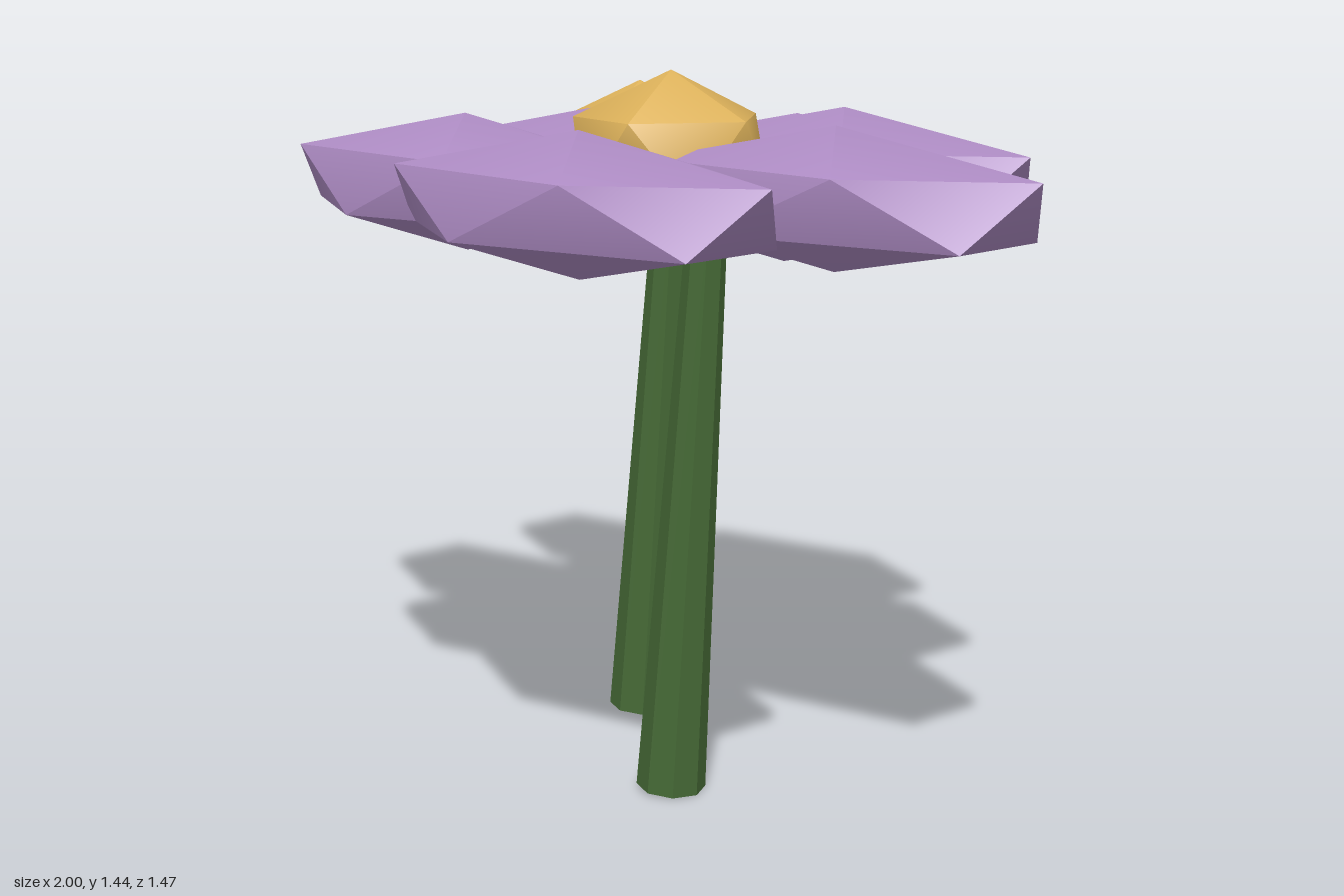
import * as THREE from 'three';
import { toCreasedNormals } from 'three/addons/utils/BufferGeometryUtils.js';

const material = (name, color, flatShading = false) => {
  const m = new THREE.MeshStandardMaterial({ color, flatShading });
  m.name = name;
  return m;
};

// Twelve-cornered ball standing on one point: two twisted rings of five and two poles
function ball(sx, sy, sz) {
  const ringY = 1 / Math.sqrt(5), ringR = 2 / Math.sqrt(5);
  const points = [0, sy, 0, 0, -sy, 0];
  const index = [];
  for (let i = 0; i < 10; i++) {
    const a = i * Math.PI / 5;
    points.push(Math.cos(a) * ringR * sx, (i % 2 ? -1 : 1) * ringY * sy, Math.sin(a) * ringR * sz);
  }
  for (let i = 0; i < 10; i += 2) {
    const [u0, l0, u1, l1] = [0, 1, 2, 3].map(k => 2 + (i + k) % 10);
    index.push(0, u1, u0, u0, u1, l0, l0, u1, l1, 1, l0, l1);
  }
  const g = new THREE.BufferGeometry();
  g.setAttribute('position', new THREE.Float32BufferAttribute(points, 3));
  g.setIndex(index);
  // Soft caps, sharp rim
  return toCreasedNormals(g, 0.8);
}

export function createModel() {
  const model = new THREE.Group();
  model.name = 'flowers';
  const purple = material('petal purple', 0xae8cc4);
  const yellow = material('centre yellow', 0xdcb15a);
  const green = material('stem green', 0x466a36, true);

  const petalShape = ball(0.495, 0.133, 0.223);
  const centreShape = ball(0.21, 0.163, 0.215);

  // Tapered stem with its origin at the base
  const length = 1.17;
  const stemShape = new THREE.CylinderGeometry(0.039, 0.07, length, 8);
  stemShape.translate(0, length / 2, 0);

  const addFlower = (name, x, y, z) => {
    const flower = new THREE.Group();
    flower.name = name;
    const add = (part, shape, mat, px, py, pz) => {
      const mesh = new THREE.Mesh(shape, mat);
      mesh.name = part;
      mesh.position.set(px, py, pz);
      flower.add(mesh);
      return mesh;
    };
    // Five petals in a circle, all stretched along x
    for (let i = 0; i < 5; i++) {
      const a = i * Math.PI * 2 / 5;
      add('petal' + (i + 1), petalShape, purple, x + Math.cos(a) * 0.4, y, z + Math.sin(a) * 0.4);
    }
    add('centre', centreShape, yellow, x, y + 0.055, z);
    // Stem leaning towards +x
    add('stem', stemShape, green, x, 0.006, z).rotation.z = -0.08;
    model.add(flower);
  };

  addFlower('frontFlower', 0.155, 1.227, 0.168);
  addFlower('backFlower', -0.235, 1.177, -0.165);
  return model;
}
